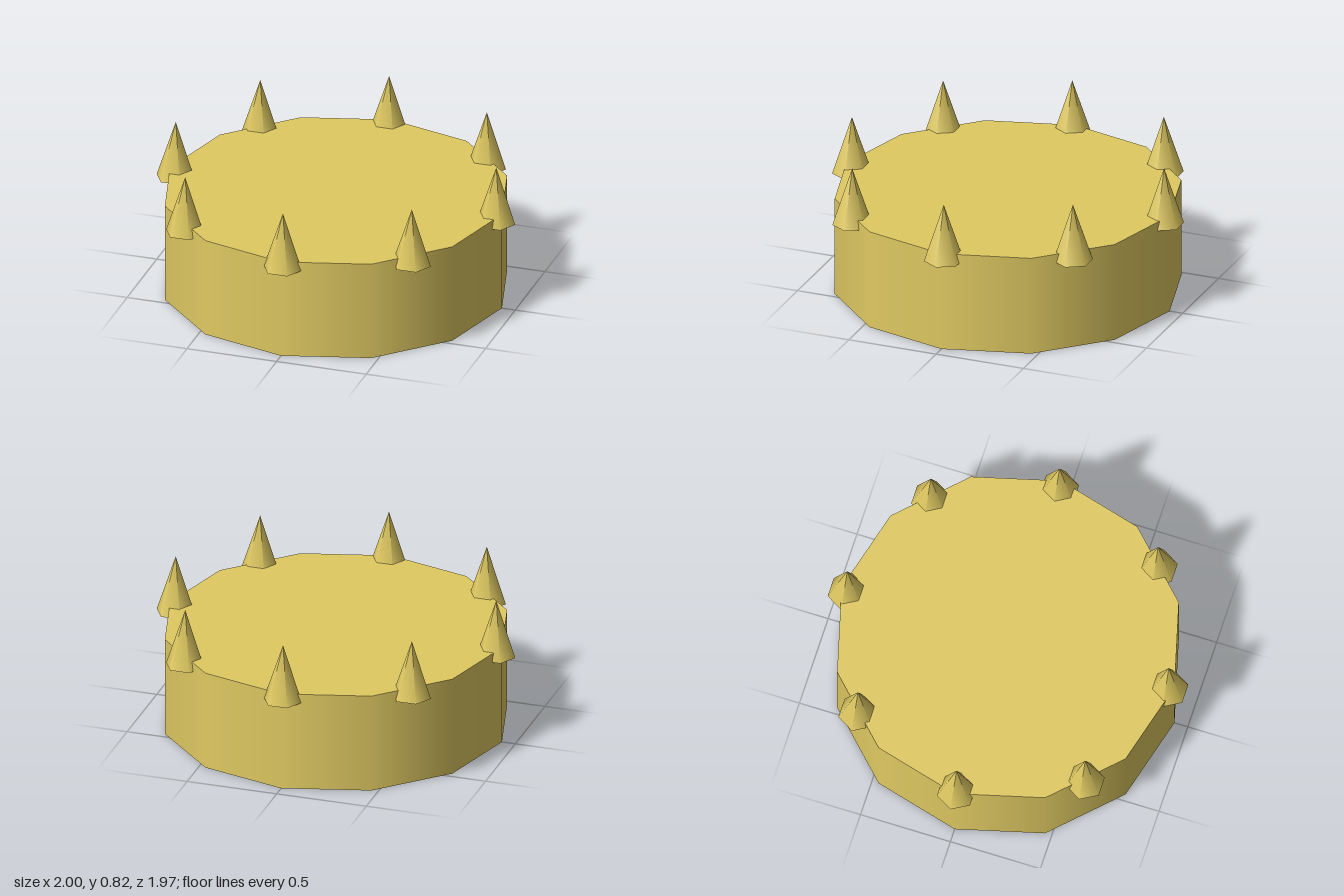
import * as THREE from 'three';

export function createModel() {
  const model = new THREE.Group();
  model.name = 'crown';
  const gold = new THREE.MeshStandardMaterial({ color: 0xe0ca62 });

  // Twelve-sided solid band, smooth around the side
  const bandHeight = 0.55;
  const band = new THREE.Mesh(new THREE.CylinderGeometry(0.926, 0.926, bandHeight, 12), gold);
  band.name = 'band';
  band.position.y = bandHeight / 2;
  model.add(band);

  // Eight six-sided spikes sunk into the rim, all turned the same way
  const spikeHeight = 0.32, spikeBase = 0.5, ringRadius = 0.894;
  const spikeGeometry = new THREE.ConeGeometry(0.106, spikeHeight, 6);
  spikeGeometry.rotateY(Math.PI / 6);
  const spikes = new THREE.Group();
  spikes.name = 'spikes';
  for (let i = 0; i < 8; i++) {
    const a = (i * Math.PI) / 4;
    const spike = new THREE.Mesh(spikeGeometry, gold);
    spike.name = `spike${i + 1}`;
    spike.position.set(Math.cos(a) * ringRadius, spikeBase + spikeHeight / 2, Math.sin(a) * ringRadius);
    spikes.add(spike);
  }
  model.add(spikes);

  return model;
}
